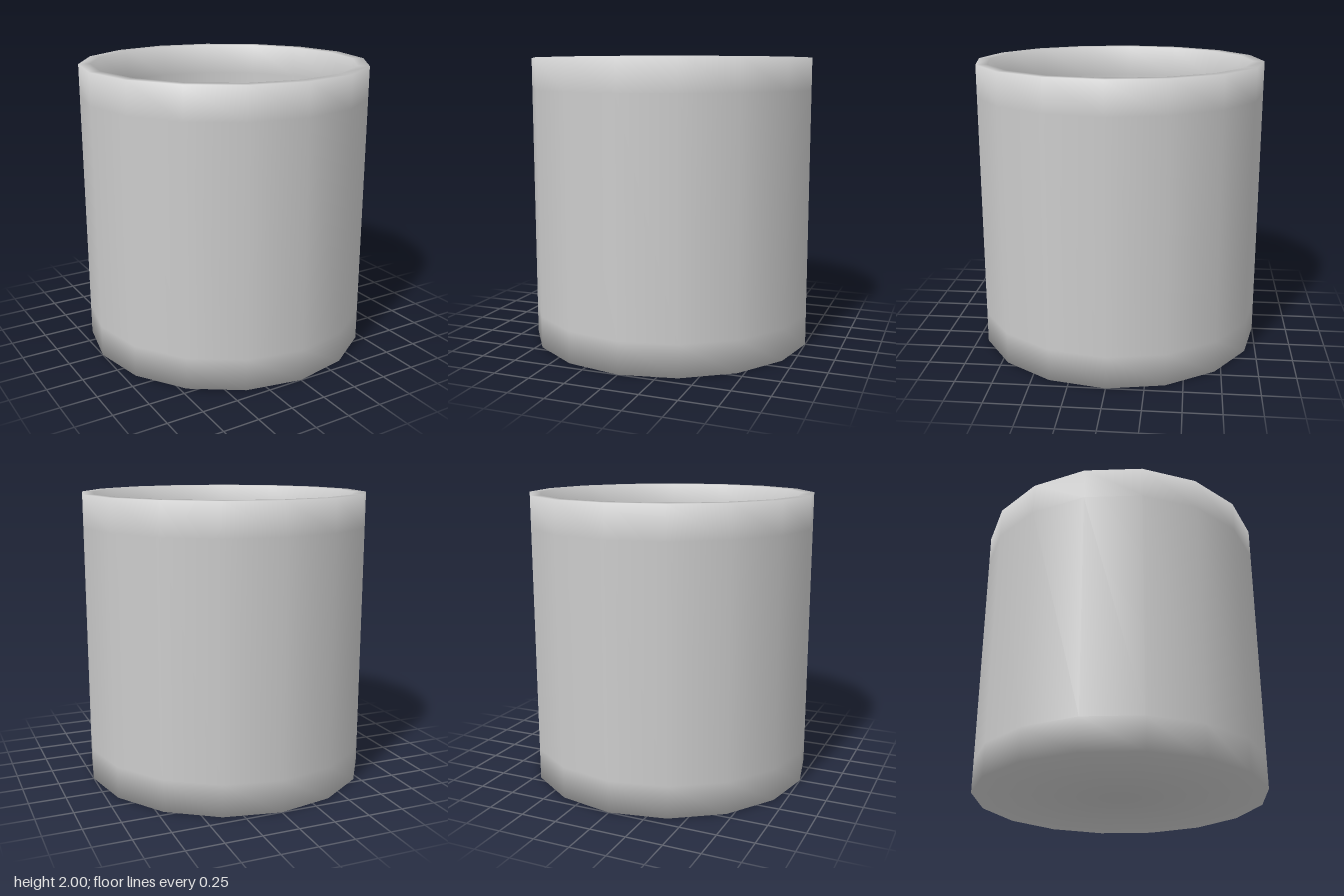
import * as THREE from 'three';

const SIDES = 16;
const D = Math.SQRT1_2;

// Cup section from the centre of the base, up the outside, over the rim and
// down to the centre of the inner floor: [radius, y, normal out, normal up]
const SECTION = [
  [0, 0, 0, -1],
  [1, 0, D, -D],
  [1, 0.22, 1, 0],
  [1, 1.78, 1, 0],
  [1, 2, D, D],
  [0.92, 2, -D, D],
  [0.92, 1.78, -1, 0],
  [0.92, 0.22, -1, 0],
  [0.92, 0.08, -D, D],
  [0, 0.08, 0, 1],
];

// Sixteen-sided lathe whose normals stay soft across the base and rim edges
function softLathe(section, sides) {
  const points = section.map(([r, y]) => new THREE.Vector2(r, y));
  const geometry = new THREE.LatheGeometry(points, sides);
  const normal = geometry.attributes.normal;
  for (let i = 0; i < normal.count; i++) {
    const angle = Math.floor(i / section.length) / sides * Math.PI * 2;
    const [, , out, up] = section[i % section.length];
    normal.setXYZ(i, out * Math.sin(angle), up, out * Math.cos(angle));
  }
  return geometry;
}

export function createModel() {
  const group = new THREE.Group();
  group.name = 'cup';
  const material = new THREE.MeshStandardMaterial({ color: 0xcccccc });
  const body = new THREE.Mesh(softLathe(SECTION, SIDES), material);
  body.name = 'cupBody';
  group.add(body);
  return group;
}
